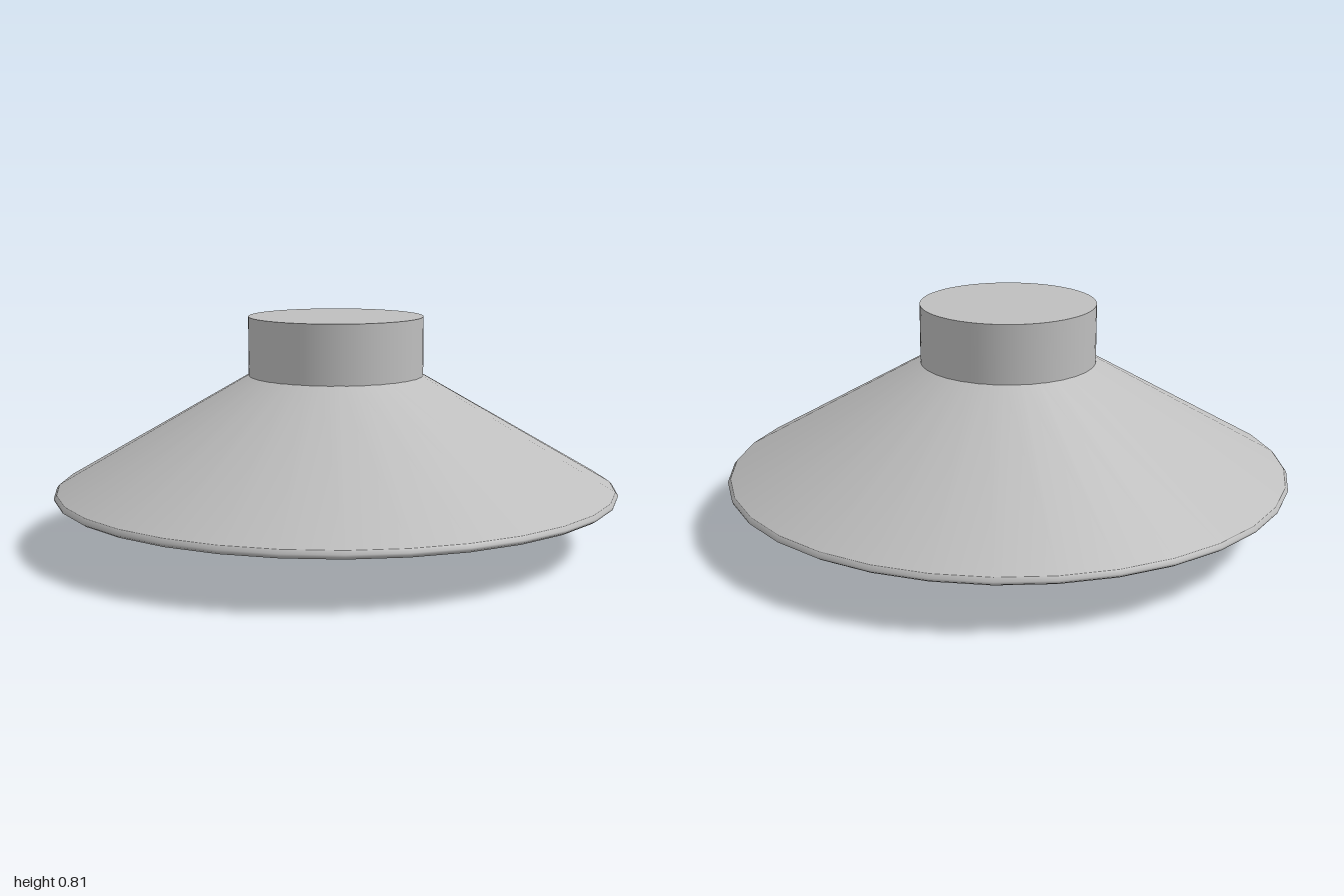
import * as THREE from 'three';

export function createModel() {
  const model = new THREE.Group();
  const metal = new THREE.MeshStandardMaterial({ color: 0xbebebe });
  metal.name = 'grey metal';
  const glass = new THREE.MeshStandardMaterial({ color: 0xdacfb6 });
  glass.name = 'cream glass';

  const add = (name, geometry, material, y = 0) => {
    const mesh = new THREE.Mesh(geometry, material);
    mesh.name = name;
    mesh.position.y = y;
    model.add(mesh);
  };
  const lathe = (points) =>
    new THREE.LatheGeometry(points.map(([r, y]) => new THREE.Vector2(r, y)), 32);

  // Mounting collar, closed on top
  add('collar', new THREE.CylinderGeometry(0.31, 0.31, 0.21, 64), metal, 0.705);

  // Straight outer cone
  add('shadeOuter', lathe([[0.99, 0.208], [0.31, 0.602]]), metal);

  // Rounded lip, from its flat underside up to the cone
  add('shadeLip', lathe([
    [0.93, 0.176], [0.965, 0.176], [0.985, 0.179], [0.997, 0.187], [1, 0.196], [0.99, 0.208],
  ]), metal);

  // Flared inner surface, steepening towards the bulb
  const flare = new THREE.SplineCurve([
    [0.29, 0.6], [0.38, 0.468], [0.5, 0.35], [0.68, 0.247], [0.8, 0.204], [0.93, 0.176],
  ].map(([r, y]) => new THREE.Vector2(r, y)));
  add('shadeInner', new THREE.LatheGeometry(flare.getPoints(15), 32), metal);

  // Globe bulb
  add('bulb', new THREE.SphereGeometry(0.332, 48, 32), glass, 0.336);

  return model;
}
